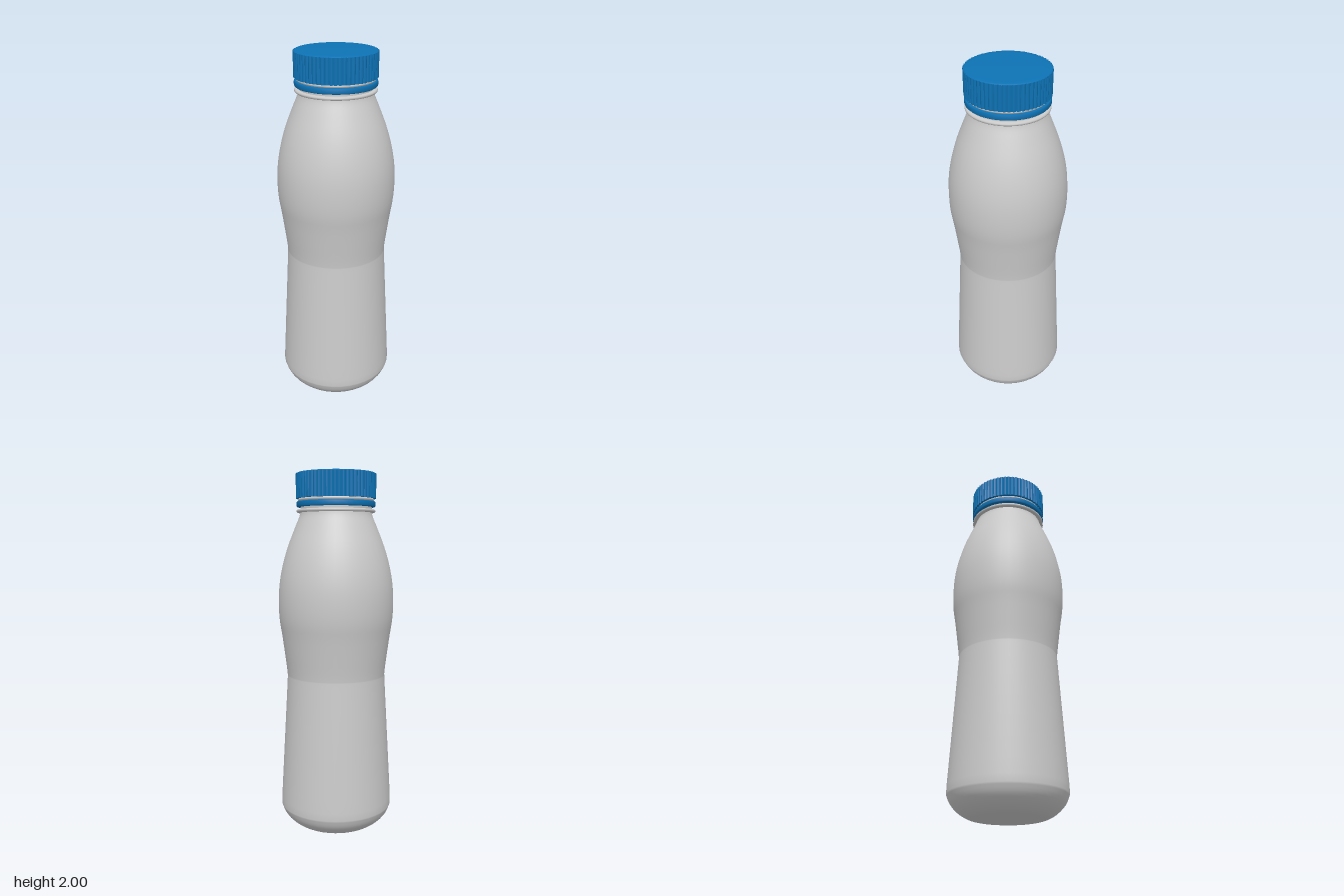
import * as THREE from 'three';

const grey = new THREE.MeshStandardMaterial({ color: 0xcccccc });
const blue = new THREE.MeshStandardMaterial({ color: 0x0d72b4 });
const SEGMENTS = 40;

const points = (pairs) => pairs.map(([r, y]) => new THREE.Vector2(r, y));
const smooth = (pairs, n) => new THREE.SplineCurve(points(pairs)).getPoints(n);

// Surface of revolution from a profile running from bottom to top
function turned(name, profile, material) {
  const mesh = new THREE.Mesh(new THREE.LatheGeometry(profile, SEGMENTS), material);
  mesh.name = name;
  return mesh;
}

// Closed band with slightly rounded edges
function band(name, inner, outer, y0, y1, material) {
  const b = Math.min(0.005, (y1 - y0) * 0.3);
  return turned(name, points([
    [inner, y0], [outer - b, y0], [outer, y0 + b], [outer, y1 - b], [outer - b, y1], [inner, y1],
  ]), material);
}

// Cap wall: an outline of small convex ribs, extruded upwards
function ribbedCap() {
  const ribs = 60, steps = 4, outline = [];
  for (let i = 0; i < ribs * steps; i++) {
    const a = (i / (ribs * steps)) * Math.PI * 2;
    const r = 0.213 + 0.006 * Math.sin(((i % steps) / steps) * Math.PI);
    outline.push(new THREE.Vector2(r * Math.cos(a), r * Math.sin(a)));
  }
  const geometry = new THREE.ExtrudeGeometry(new THREE.Shape(outline), { depth: 0.132, bevelEnabled: false });
  geometry.rotateX(-Math.PI / 2).translate(0, 1.86, 0);
  const mesh = new THREE.Mesh(geometry, blue);
  mesh.name = 'capRibs';
  return mesh;
}

export function createModel() {
  const model = new THREE.Group();
  model.name = 'bottle';

  // Body: rounded base, tapering wall, waist, bulging shoulder
  const base = smooth([[0.17, 0.006], [0.215, 0.016], [0.262, 0.045], [0.298, 0.085], [0.317, 0.13]], 14);
  const wall = smooth([[0.316, 0.17], [0.297, 0.5], [0.278, 0.83], [0.275, 0.89]], 10);
  const shoulder = smooth([
    [0.279, 0.93], [0.301, 1.1], [0.316, 1.2], [0.32, 1.3], [0.314, 1.4],
    [0.296, 1.5], [0.267, 1.6], [0.228, 1.7], [0.203, 1.76], [0.196, 1.785],
  ], 30);
  model.add(turned('body', [
    ...points([[0, 0.002], [0.12, 0]]), ...base, ...wall, ...shoulder,
  ], grey));

  // Neck with its support ring
  model.add(turned('neck', points([[0.196, 1.78], [0.196, 1.87]]), grey));
  model.add(band('neckRing', 0.19, 0.216, 1.785, 1.802, grey));
  model.add(band('upperNeckRing', 0.19, 0.208, 1.845, 1.861, grey));

  // Closure: tamper band, ribbed wall and softly domed top
  const cap = new THREE.Group();
  cap.name = 'cap';
  cap.add(band('tamperBand', 0.19, 0.217, 1.815, 1.845, blue));
  cap.add(ribbedCap());
  cap.add(turned('capTop', points([[0.215, 1.991], [0.208, 1.996], [0.17, 2], [0, 2]]), blue));
  model.add(cap);

  return model;
}
